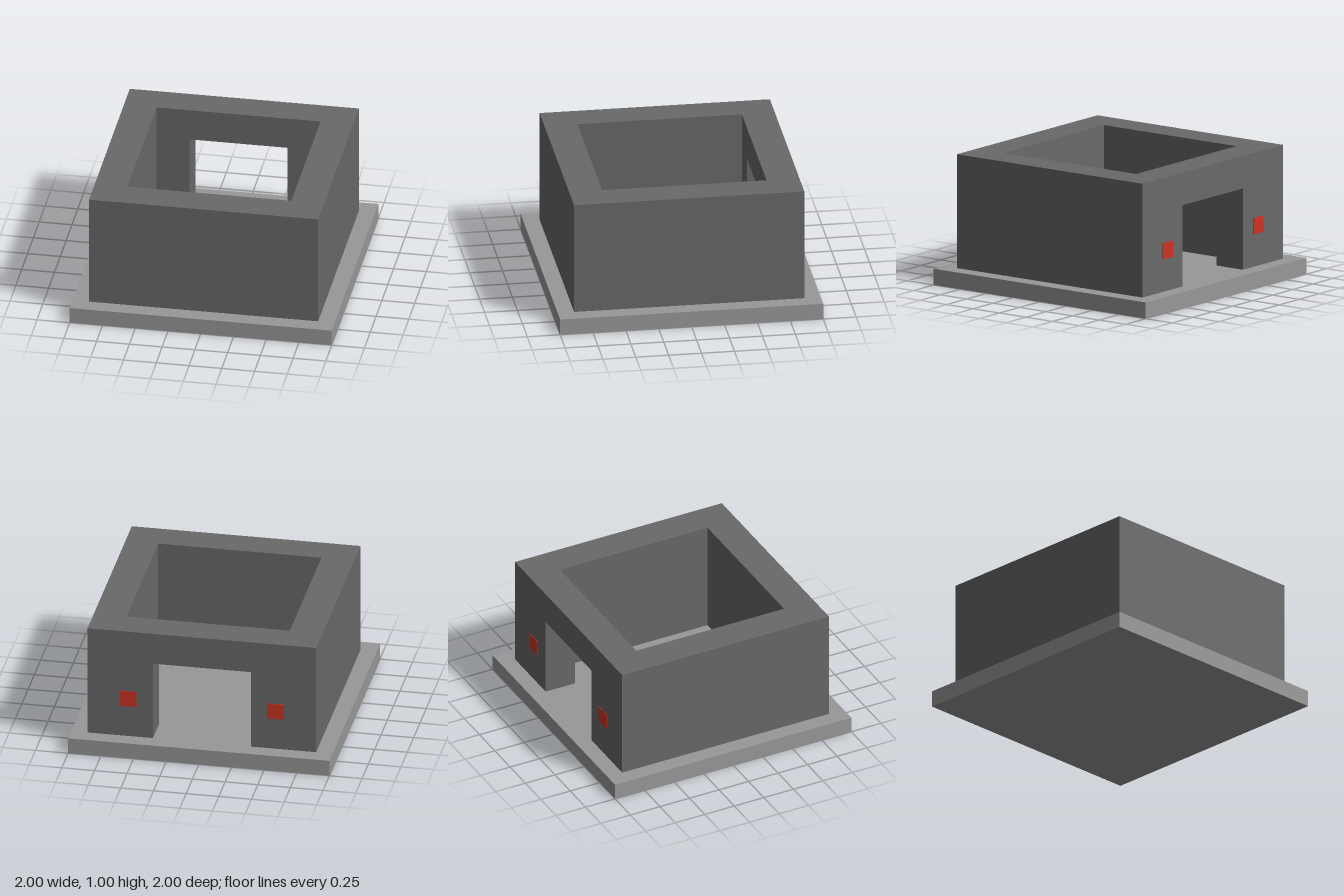
import * as THREE from 'three';

const U = 0.125; // modelling unit: the base is 16 units wide

export function createModel() {
  const slabGrey = new THREE.MeshStandardMaterial({ color: 0x989898 });
  slabGrey.name = 'slabGrey';
  const wallGrey = new THREE.MeshStandardMaterial({ color: 0x696969 });
  wallGrey.name = 'wallGrey';
  const signalRed = new THREE.MeshStandardMaterial({ color: 0xcc3322 });
  signalRed.name = 'signalRed';

  const model = new THREE.Group();
  model.name = 'openRoofHut';
  const add = (name, geometry, material, x = 0, y = 0, z = 0) => {
    const mesh = new THREE.Mesh(geometry, material);
    mesh.name = name;
    mesh.position.set(x, y, z);
    model.add(mesh);
  };

  // Base slab
  add('baseSlab', new THREE.BoxGeometry(16 * U, U, 16 * U), slabGrey, 0, U / 2, 0);

  // Thick walls: a square ring in plan, open at the doorway in the back
  const plan = [[3, 7], [3, 5], [5, 5], [5, -5], [-5, -5], [-5, 5],
    [-3, 5], [-3, 7], [-7, 7], [-7, -7], [7, -7], [7, 7]];
  const outline = new THREE.Shape(plan.map(([x, y]) => new THREE.Vector2(x * U, y * U)));
  const walls = new THREE.ExtrudeGeometry(outline, { depth: 7 * U, bevelEnabled: false });
  walls.rotateX(-Math.PI / 2);
  add('walls', walls, wallGrey, 0, U, 0);

  // Lintel over the doorway
  add('doorLintel', new THREE.BoxGeometry(6 * U, 2 * U, 2 * U), wallGrey, 0, 7 * U, -6 * U);

  // Red plates on either side of the doorway
  for (const [name, side] of [['leftDoorPlate', 1], ['rightDoorPlate', -1]]) {
    add(name, new THREE.BoxGeometry(U, U, 0.006), signalRed, side * 4.5 * U, 3.5 * U, -7 * U - 0.002);
  }

  return model;
}
